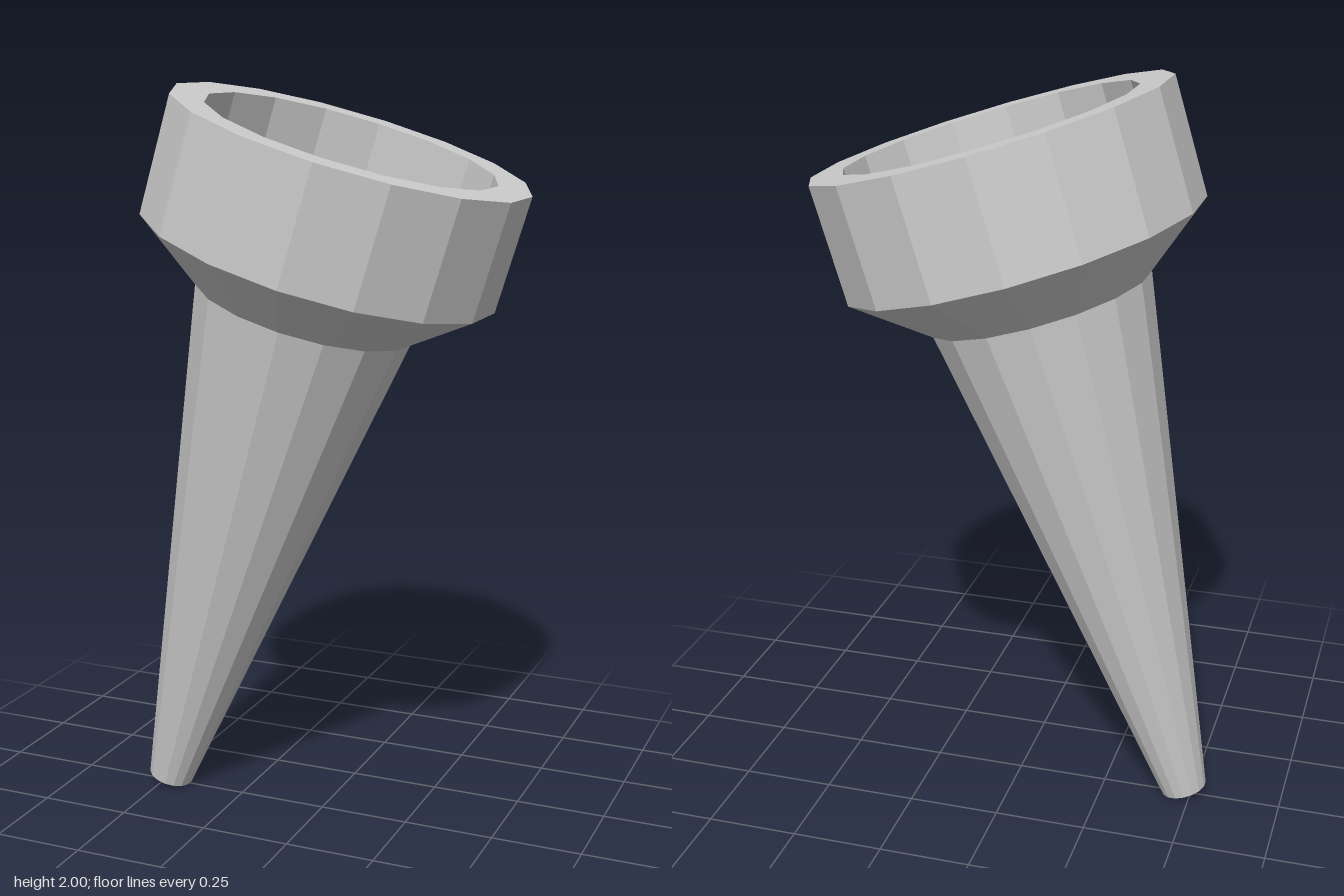
import * as THREE from 'three';

const SIDES = 16;
const HALF_STEP = Math.PI / SIDES;

// Faceted solid of revolution; each point is [distance to flat, height], going bottom to top on the outside
function facetedLathe(name, profile, material) {
  const points = profile.map(([flat, y]) => new THREE.Vector2(flat / Math.cos(HALF_STEP), y));
  const mesh = new THREE.Mesh(new THREE.LatheGeometry(points, SIDES, HALF_STEP), material);
  mesh.name = name;
  return mesh;
}

export function createModel() {
  const grey = new THREE.MeshStandardMaterial({ color: 0xcccccc, flatShading: true });
  grey.name = 'grey';

  const peg = new THREE.Group();
  peg.name = 'leaningPeg';

  // Tapered stem with a closed tip
  peg.add(facetedLathe('stem', [[0, 0], [0.0625, 0], [0.293, 1.465]], grey));

  // Flared collar between stem and cup
  peg.add(facetedLathe('collar', [[0.293, 1.465], [0.473, 1.613]], grey));

  // Cup wall, flat rim, inner wall and recessed floor
  peg.add(facetedLathe('cup', [
    [0.473, 1.613], [0.473, 1.928], [0.385, 1.928], [0.385, 1.74], [0, 1.74],
  ], grey));

  // Lean the whole piece towards +x
  peg.rotation.z = -THREE.MathUtils.degToRad(17);
  peg.position.set(-0.48, 0.018, 0);

  const model = new THREE.Group();
  model.name = 'model';
  model.add(peg);
  return model;
}
